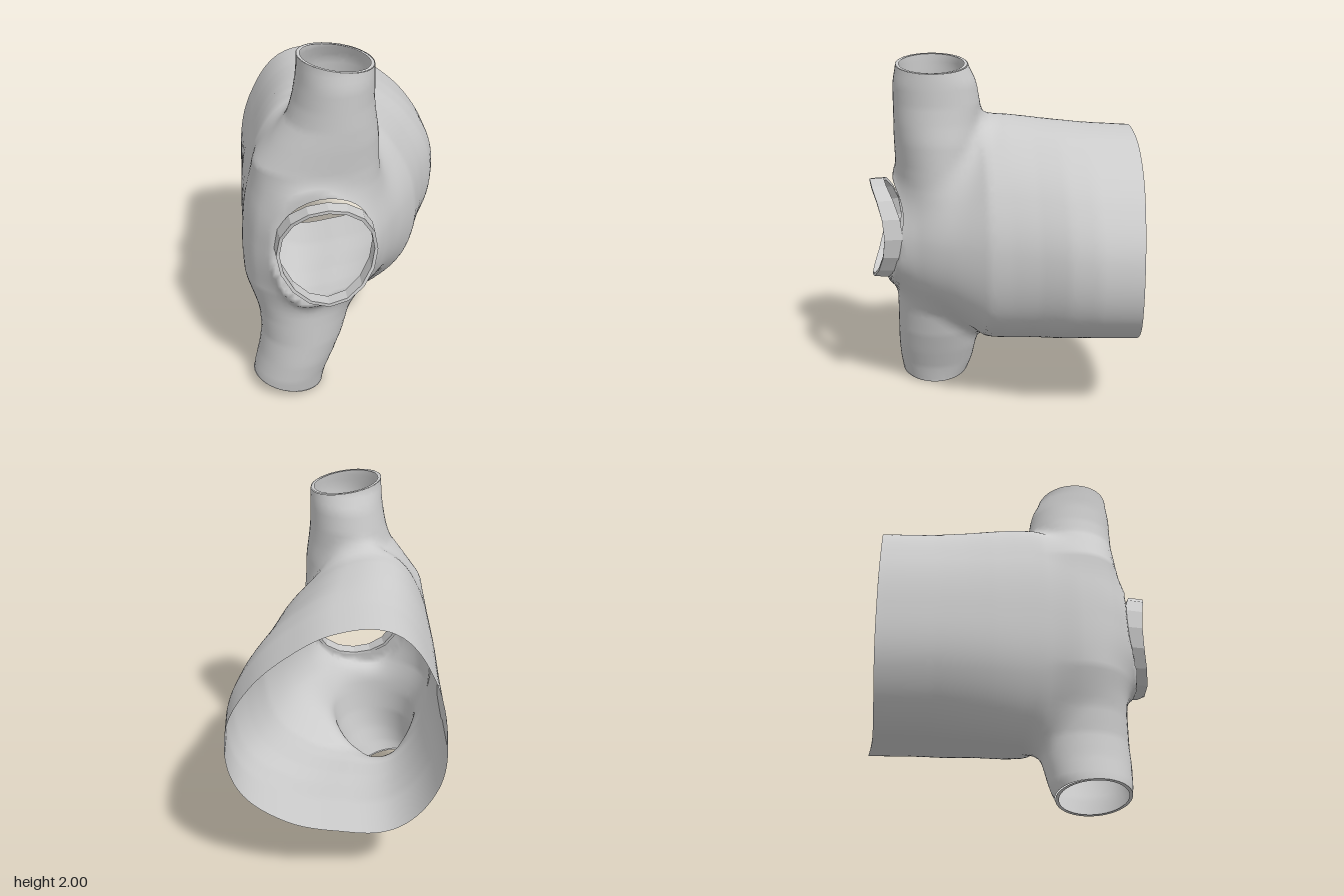
import * as THREE from 'three';

// Chamber sections along z: [z, left, right, top, bottom]
const CHAMBER = [
  [-0.75, -0.555, 0.615, 1.605, 0.355], [-0.45, -0.57, 0.605, 1.625, 0.365],
  [-0.3, -0.58, 0.565, 1.64, 0.355], [-0.15, -0.59, 0.49, 1.655, 0.345],
  [0, -0.595, 0.43, 1.67, 0.33], [0.12, -0.60, 0.39, 1.67, 0.33],
  [0.3, -0.59, 0.27, 1.52, 0.46], [0.5, -0.54, 0.13, 1.38, 0.6], [0.62, -0.47, 0.07, 1.3, 0.67],
];
// Outline of the chamber, as radii every 30 degrees
const OUTLINE = [0.99, 0.88, 0.85, 0.94, 1.06, 1.0, 0.99, 1.08, 1.11, 0.97, 0.98, 1.05];
// Upright vessel sections along y: [y, centre x, radius x, centre z, radius z]
const VESSEL = [
  [0, -0.395, 0.2, 0.40, 0.19], [0.1, -0.375, 0.205, 0.39, 0.22], [0.22, -0.335, 0.215, 0.385, 0.235],
  [0.35, -0.3, 0.23, 0.38, 0.24], [0.5, -0.285, 0.255, 0.375, 0.245], [0.7, -0.265, 0.33, 0.37, 0.25],
  [1.0, -0.22, 0.345, 0.35, 0.25], [1.25, -0.205, 0.34, 0.36, 0.25], [1.4, -0.205, 0.335, 0.365, 0.25],
  [1.55, -0.155, 0.28, 0.37, 0.25], [1.65, -0.125, 0.235, 0.375, 0.245], [1.75, -0.115, 0.215, 0.375, 0.245],
  [1.87, -0.105, 0.205, 0.385, 0.235], [1.97, -0.105, 0.2, 0.4, 0.2],
];

// Interpolated row of a section table, held constant beyond its ends
function sectionAt(table, t) {
  if (t <= table[0][0]) return table[0];
  for (let i = 1; i < table.length; i++) {
    if (t <= table[i][0]) {
      const a = table[i - 1], b = table[i], k = (t - a[0]) / (b[0] - a[0]);
      return a.map((v, j) => v + (b[j] - v) * k);
    }
  }
  return table[table.length - 1];
}

function outlineRadius(angle) {
  const n = OUTLINE.length, t = ((angle / (2 * Math.PI)) * n + n) % n;
  const i = Math.floor(t), f = t - i, p = (k) => OUTLINE[(i + k + n) % n];
  const a = p(-1), b = p(0), c = p(1), d = p(2);
  return b + 0.5 * f * (c - a + f * (2 * a - 5 * b + 4 * c - d + f * (3 * (b - c) + d - a)));
}

// Signed field of chamber and vessel, softly joined
function field(x, y, z) {
  const [, l, r, t, b] = sectionAt(CHAMBER, z);
  const u = (2 * x - l - r) / (r - l), v = (2 * y - t - b) / (t - b);
  const wall = (Math.hypot(u, v) - outlineRadius(Math.atan2(v, u))) * (r - l + t - b) / 4;
  // The front end leans forward under the round opening
  const chamber = Math.max(wall, z - 0.6 - 0.28 * Math.max(0, 0.95 - y));
  const [, cx, rx, cz, rz] = sectionAt(VESSEL, y);
  const vessel = (Math.hypot((x - cx) / rx, (z - cz) / rz) - 1) * Math.min(rx, rz);
  const k = 0.12, h = Math.max(k - Math.abs(chamber - vessel), 0) / k;
  return Math.min(chamber, vessel) - h * h * k / 4;
}

function fieldNormal(p) {
  const e = 0.02;
  return new THREE.Vector3(
    field(p.x + e, p.y, p.z) - field(p.x - e, p.y, p.z),
    field(p.x, p.y + e, p.z) - field(p.x, p.y - e, p.z),
    field(p.x, p.y, p.z + e) - field(p.x, p.y, p.z - e)).normalize();
}

// Skin the field: one point per crossed grid cell, one quad per crossed grid edge
function skin() {
  const s = 0.035, min = [-0.8, -0.14, -0.92], n = [46, 66, 50], quads = [];
  const id = (i, j, k) => (i * n[1] + j) * n[2] + k;
  const value = new Float32Array(n[0] * n[1] * n[2]), points = new Map();
  const each = (fn) => {
    for (let i = 0; i < n[0]; i++) for (let j = 0; j < n[1]; j++) for (let k = 0; k < n[2]; k++) fn(i, j, k);
  };
  each((i, j, k) => { value[id(i, j, k)] = field(min[0] + i * s, min[1] + j * s, min[2] + k * s); });
  const axes = [[1, 0, 0], [0, 1, 0], [0, 0, 1]];
  each((i, j, k) => {
    if (i === n[0] - 1 || j === n[1] - 1 || k === n[2] - 1) return;
    const sum = new THREE.Vector3();
    let count = 0;
    for (let c = 0; c < 8; c++) for (let a = 0; a < 3; a++) {
      if (c & (1 << a)) continue;
      const o = [i + (c & 1), j + ((c >> 1) & 1), k + (c >> 2)];
      const f0 = value[id(...o)], f1 = value[id(...o.map((v, m) => v + axes[a][m]))];
      if ((f0 < 0) === (f1 < 0)) continue;
      o[a] += f0 / (f0 - f1);
      sum.add(new THREE.Vector3(...o));
      count++;
    }
    if (count) points.set(id(i, j, k), sum.multiplyScalar(s / count).add(new THREE.Vector3(...min)));
  });
  each((i, j, k) => {
    for (let a = 0; a < 3; a++) {
      const o = [i, j, k], q = o.map((v, m) => v + axes[a][m]);
      if (q[a] >= n[a] || (value[id(...o)] < 0) === (value[id(...q)] < 0)) continue;
      const b = axes[(a + 1) % 3], c = axes[(a + 2) % 3];
      const cell = (p, r) => points.get(id(...o.map((v, m) => v - p * b[m] - r * c[m])));
      const quad = [cell(0, 0), cell(1, 0), cell(1, 1), cell(0, 1)];
      if (quad.every(Boolean)) quads.push([quad[0], quad[1], quad[2]], [quad[0], quad[2], quad[3]]);
    }
  });
  return quads;
}

// Keep the part of each polygon where side(p) is positive
function clip(polygons, side) {
  return polygons.map((poly) => {
    const kept = [];
    poly.forEach((p, i) => {
      const q = poly[(i + 1) % poly.length], a = side(p), b = side(q);
      if (a >= 0) kept.push(p);
      if ((a >= 0) !== (b >= 0)) kept.push(p.clone().lerp(q, a / (a - b)));
    });
    return kept;
  }).filter((poly) => poly.length > 2);
}

function skinGeometry(polygons) {
  const pos = [], nor = [], face = new THREE.Vector3(), edge = new THREE.Vector3();
  for (const poly of polygons) for (let i = 1; i < poly.length - 1; i++) {
    const tri = [poly[0], poly[i], poly[i + 1]];
    const normals = tri.map(fieldNormal);
    face.subVectors(tri[1], tri[0]).cross(edge.subVectors(tri[2], tri[0]));
    const order = face.dot(normals[0]) < 0 ? [0, 2, 1] : [0, 1, 2];
    for (const m of order) { pos.push(...tri[m].toArray()); nor.push(...normals[m].toArray()); }
  }
  const g = new THREE.BufferGeometry();
  g.setAttribute('position', new THREE.Float32BufferAttribute(pos, 3));
  g.setAttribute('normal', new THREE.Float32BufferAttribute(nor, 3));
  return g;
}

// Saddle-shaped band around the front opening
function bandGeometry() {
  const sides = 16, pos = [], index = [];
  for (let i = 0; i < sides; i++) {
    const a = (i / sides) * 2 * Math.PI, lift = Math.sin(a) ** 2;
    const back = 0.585 + 0.1 * lift, front = 0.69 + 0.075 * lift;
    for (const [inset, z] of [[0, back], [0.004, front], [0.022, front], [0.018, back]]) {
      pos.push(-0.19 + (0.272 - inset) * Math.cos(a), 1.005 + (0.295 - inset) * Math.sin(a), z);
    }
    for (let j = 0; j < 4; j++) {
      const p = i * 4 + j, q = i * 4 + (j + 1) % 4, m = sides * 4;
      index.push(p, (p + 4) % m, q, q, (p + 4) % m, (q + 4) % m);
    }
  }
  const g = new THREE.BufferGeometry();
  g.setAttribute('position', new THREE.Float32BufferAttribute(pos, 3));
  g.setIndex(index);
  g.computeVertexNormals();
  return g;
}

// Thin lip closing the wall thickness at a vessel end
const lipGeometry = (x, y, z, rx, rz, slope) => new THREE.RingGeometry(0.91, 1, 40)
  .rotateX(-Math.PI / 2).scale(rx, 1, rz).rotateZ(Math.atan(slope))
  .translate(x, y, z);

export function createModel() {
  const model = new THREE.Group();
  const material = new THREE.MeshStandardMaterial({ color: 0xcccccc, side: THREE.DoubleSide });
  const bandMaterial = material.clone();
  bandMaterial.flatShading = true;
  const add = (name, geometry, mat = material) => {
    const mesh = new THREE.Mesh(geometry, mat);
    mesh.name = name;
    model.add(mesh);
  };

  // Open the four ends: upper vessel, lower vessel, wide back, round front
  let wall = skin();
  wall = clip(wall, (p) => 1.97 - 0.15 * (p.x + 0.11) - p.y);
  wall = clip(wall, (p) => p.y - 0.04 + 0.2 * (p.x + 0.39));
  wall = clip(wall, (p) => p.z + 0.735 - 0.08 * p.x + 0.015 * Math.sin(5 * p.x));
  wall = clip(wall, (p) => (p.z < 0.35 ? 1 : Math.hypot((p.x + 0.19) / 0.262, (p.y - 1.005) / 0.285) - 1));

  const part = (poly) => (poly[0].z < 0.08 ? 'chamber'
    : poly[0].y > 1.62 ? 'upperVessel' : poly[0].y < 0.36 ? 'lowerVessel' : 'chamber');
  for (const name of ['chamber', 'upperVessel', 'lowerVessel']) {
    add(name, skinGeometry(wall.filter((poly) => part(poly) === name)));
  }
  add('upperLip', lipGeometry(-0.105, 1.969, 0.4, 0.2, 0.2, -0.15));
  add('lowerLip', lipGeometry(-0.39, 0.04, 0.4, 0.2, 0.2, -0.2));
  add('frontBand', bandGeometry(), bandMaterial);
  return model;
}
